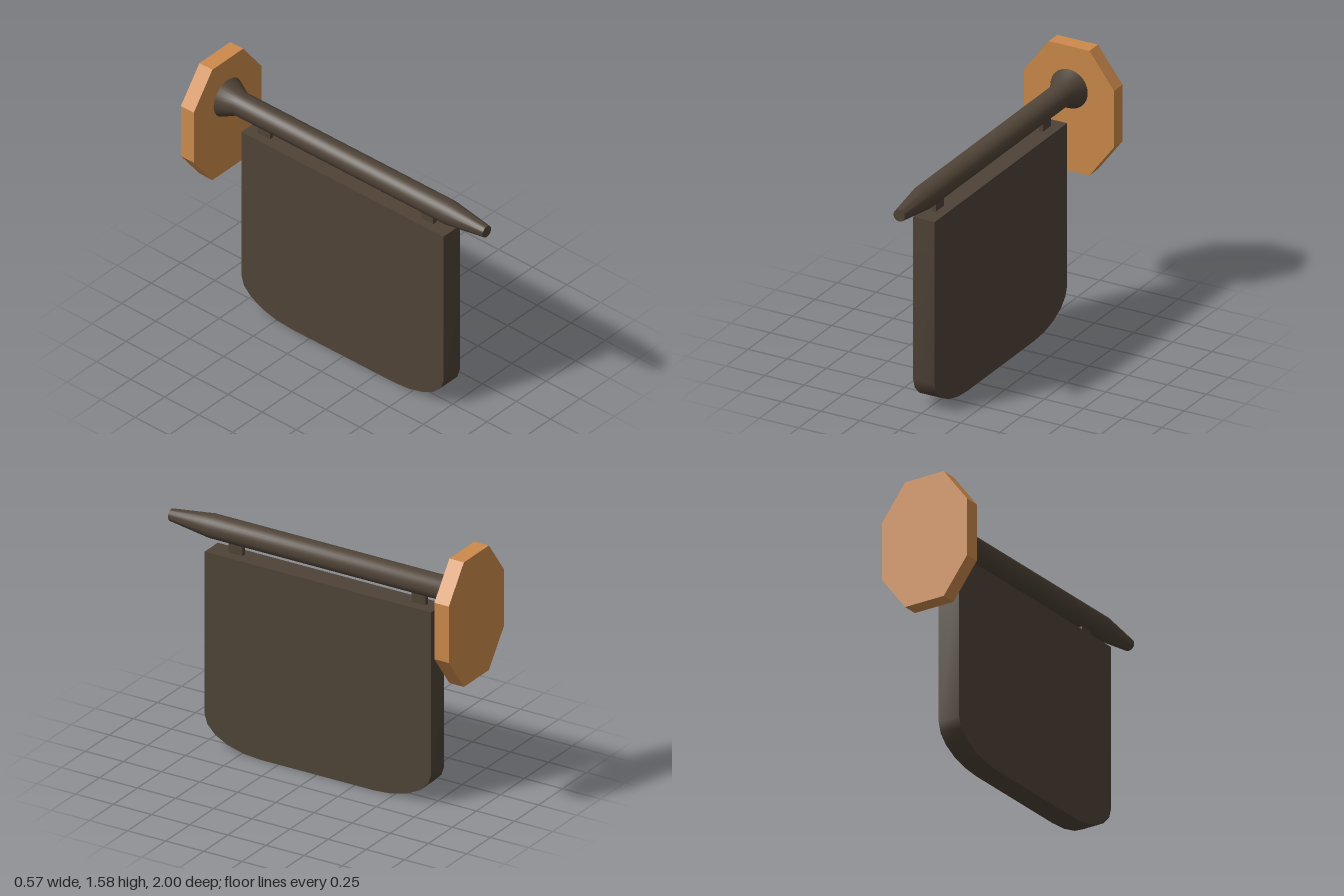
import * as THREE from 'three';
import { toCreasedNormals } from 'three/addons/utils/BufferGeometryUtils.js';

const WOOD = new THREE.MeshStandardMaterial({ color: 0xcd8a4c });
const IRON = new THREE.MeshStandardMaterial({ color: 0x4f4337 });
const POLE_Y = 1.315;

function add(group, name, geometry, material) {
  const mesh = new THREE.Mesh(geometry, material);
  mesh.name = name;
  group.add(mesh);
  return mesh;
}

export function createModel() {
  const group = new THREE.Group();
  group.name = 'hangingSign';

  // Eight-sided wall plate
  const plate = new THREE.Shape([
    [0.13, 0.813], [0.287, 1.022], [0.287, 1.368], [0.13, 1.577],
    [-0.13, 1.577], [-0.287, 1.368], [-0.287, 1.022], [-0.13, 0.813],
  ].map(([x, y]) => new THREE.Vector2(x, y)));
  const plateGeometry = new THREE.ExtrudeGeometry(plate, { depth: 0.095, bevelEnabled: false });
  add(group, 'wallPlate', plateGeometry, WOOD).position.z = -1;

  // Round pole: flared foot at the wall, tapered tip at the front
  const profile = [
    [0, -0.905], [0.119, -0.905], [0.071, -0.81], [0.071, 0.73], [0.036, 1], [0, 1],
  ].map(([r, z]) => new THREE.Vector2(r, z));
  const poleGeometry = toCreasedNormals(new THREE.LatheGeometry(profile, 32), 0.6);
  poleGeometry.rotateX(Math.PI / 2);
  add(group, 'pole', poleGeometry, IRON).position.y = POLE_Y;

  // Sign board with elliptical lower corners, drawn as (z, y)
  const back = -0.75, front = 0.735, top = 1.185, rz = 0.37, ry = 0.19;
  const board = new THREE.Shape();
  board.moveTo(front, top);
  board.lineTo(back, top);
  for (let i = 0; i <= 10; i++) {
    const a = Math.PI + (Math.min(i, 5) / 5) * Math.PI / 2;
    if (i <= 5) board.lineTo(back + rz + rz * Math.cos(a), ry + ry * Math.sin(a));
  }
  for (let i = 0; i <= 5; i++) {
    const a = (1.5 + i / 10) * Math.PI;
    board.lineTo(front - rz + rz * Math.cos(a), ry + ry * Math.sin(a));
  }
  const boardGeometry = toCreasedNormals(
    new THREE.ExtrudeGeometry(board, { depth: 0.138, bevelEnabled: false }), 0.7);
  boardGeometry.rotateY(-Math.PI / 2);
  add(group, 'signBoard', boardGeometry, IRON).position.x = 0.076;

  // Two hangers joining board and pole
  for (const [name, z] of [['frontHanger', 0.57], ['backHanger', -0.63]]) {
    add(group, name, new THREE.BoxGeometry(0.026, 0.1, 0.09), IRON).position.set(0.002, 1.225, z);
  }

  return group;
}
